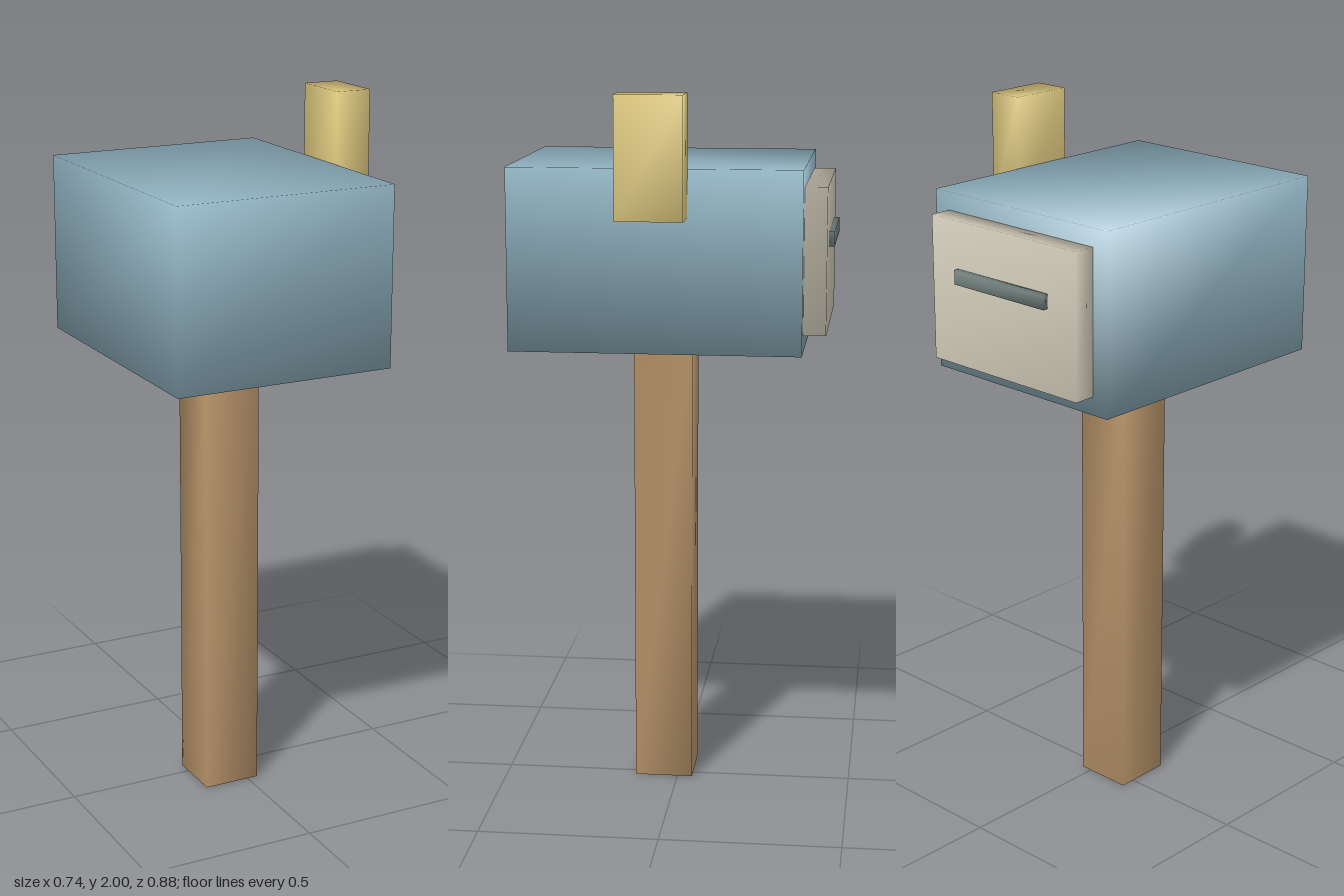
import * as THREE from 'three';
import { mergeVertices } from 'three/addons/utils/BufferGeometryUtils.js';

// Block between two corners, with corners shared so the shading runs smoothly over its edges
function block(name, color, [x0, y0, z0], [x1, y1, z1]) {
  const box = new THREE.BoxGeometry(x1 - x0, y1 - y0, z1 - z0);
  box.deleteAttribute('normal');
  box.deleteAttribute('uv');
  const geometry = mergeVertices(box);
  geometry.computeVertexNormals();
  const mesh = new THREE.Mesh(geometry, new THREE.MeshStandardMaterial({ color }));
  mesh.name = name;
  mesh.position.set((x0 + x1) / 2, (y0 + y1) / 2, (z0 + z1) / 2);
  return mesh;
}

export function createModel() {
  const model = new THREE.Group();
  model.name = 'mailbox';

  // Wooden post and the box on top of it
  model.add(block('post', 0xb8946a, [-0.133, 0, -0.043], [0.032, 1.3, 0.122]));
  model.add(block('mailboxBody', 0x8fb1bf, [-0.368, 1.3, -0.362], [0.265, 1.8, 0.438]));

  // Door on the back end, with its pull handle
  model.add(block('door', 0xd6cfbd, [-0.318, 1.35, -0.424], [0.215, 1.75, -0.362]));
  model.add(block('doorHandle', 0x74827f, [-0.218, 1.58, -0.44], [0.115, 1.62, -0.424]));

  // Raised signal flag on the side
  model.add(block('flag', 0xe6d084, [0.265, 1.67, -0.053], [0.367, 2, 0.13]));

  return model;
}
